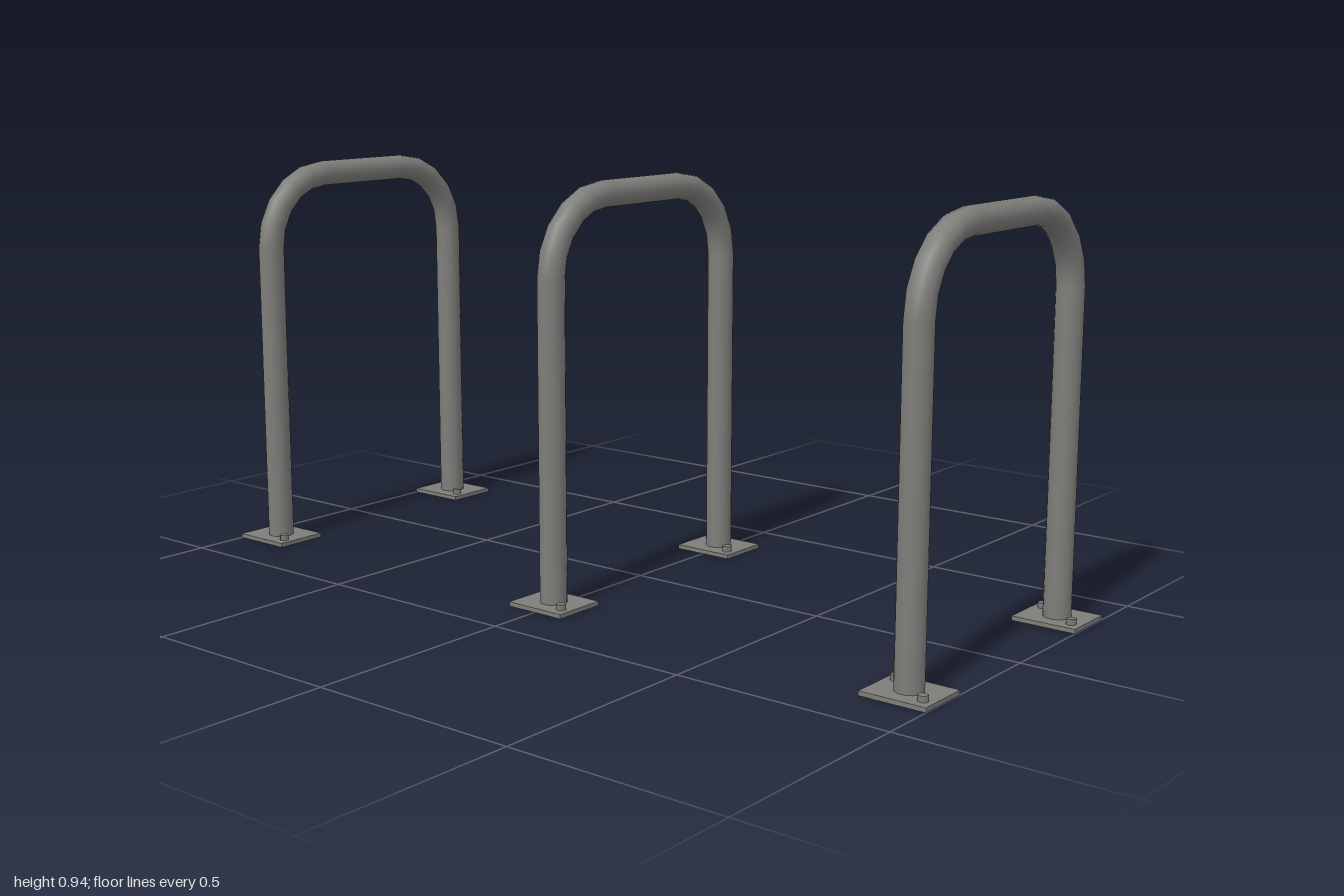
import * as THREE from 'three';

const LEG_Z = 0.308, TUBE_R = 0.031, TOP_Y = 0.911, BEND_R = 0.173, BEND_STEPS = 5;

// Inverted-U path: straight legs and rail, with each bend split into equal steps
class HoopCurve extends THREE.Curve {
  constructor() {
    super();
    this.points = [new THREE.Vector3(0, 0.005, LEG_Z)];
    this.tangents = [new THREE.Vector3(0, 1, 0)];
    for (const side of [1, -1]) {
      for (let i = 0; i <= BEND_STEPS; i++) {
        const a = (i / BEND_STEPS + (side < 0 ? 1 : 0)) * Math.PI / 2;
        const c = Math.cos(a), s = Math.sin(a);
        this.points.push(new THREE.Vector3(0, TOP_Y - BEND_R + BEND_R * s, side * (LEG_Z - BEND_R) + BEND_R * c));
        this.tangents.push(new THREE.Vector3(0, c, -s));
      }
    }
    this.points.push(new THREE.Vector3(0, 0.005, -LEG_Z));
    this.tangents.push(new THREE.Vector3(0, -1, 0));
  }
  index(u) { return Math.round(u * (this.points.length - 1)); }
  getPoint(u, target = new THREE.Vector3()) { return target.copy(this.points[this.index(u)]); }
  getPointAt(u, target) { return this.getPoint(u, target); }
  getTangentAt(u, target = new THREE.Vector3()) { return target.copy(this.tangents[this.index(u)]); }
}

export function createModel() {
  const model = new THREE.Group();
  model.name = 'bikeRack';
  const steel = new THREE.MeshStandardMaterial({ color: 0x7d7d7a });
  steel.name = 'grey steel';

  const path = new HoopCurve();
  const hoopGeometry = new THREE.TubeGeometry(path, path.points.length - 1, TUBE_R, 16, false);
  const plateGeometry = new THREE.BoxGeometry(0.152, 0.01, 0.129);
  const boltGeometry = new THREE.CylinderGeometry(0.0115, 0.0115, 0.014, 6);

  const add = (parent, name, geometry, x, y, z) => {
    const mesh = new THREE.Mesh(geometry, steel);
    mesh.name = name;
    mesh.position.set(x, y, z);
    parent.add(mesh);
  };

  // Three identical hoops in a row
  for (const x of [-0.924, 0, 0.924]) {
    const stand = new THREE.Group();
    stand.name = 'stand';
    stand.position.x = x;
    add(stand, 'hoop', hoopGeometry, 0, 0, 0);
    // Base plate with two hex bolts on opposite corners under each leg
    for (const z of [LEG_Z, -LEG_Z]) {
      add(stand, 'basePlate', plateGeometry, 0, 0.005, z);
      for (const s of [-1, 1]) add(stand, 'bolt', boltGeometry, s * 0.052, 0.016, z + s * 0.035);
    }
    model.add(stand);
  }
  return model;
}
